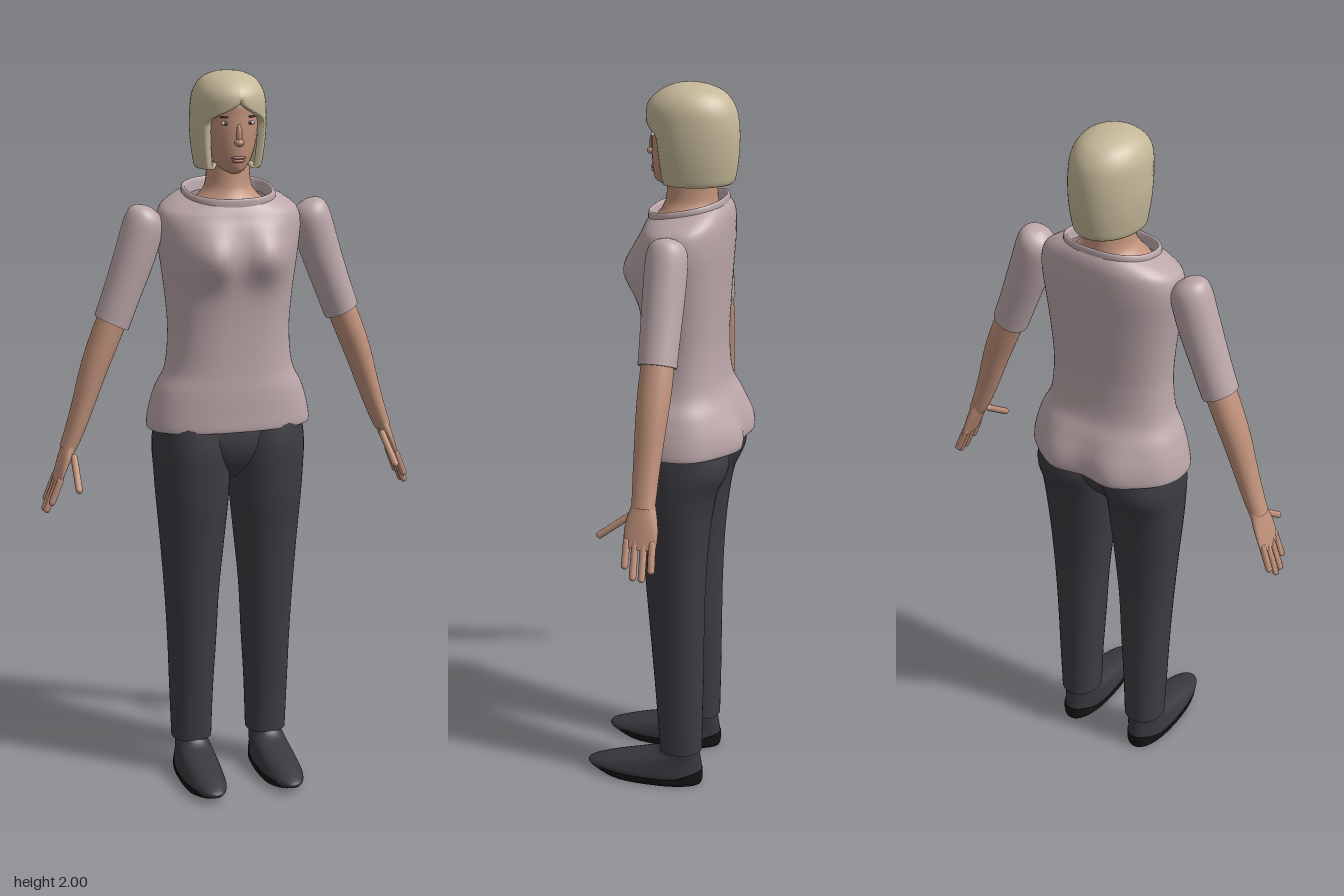
import * as THREE from 'three';

const mat = (name, color, side = THREE.FrontSide) => {
  const m = new THREE.MeshStandardMaterial({ color, side });
  m.name = name;
  return m;
};
const smooth = THREE.MathUtils.smoothstep;
const gauss = (a, b, r) => Math.exp(-(a * a + b * b) / (r * r));

// Smooth interpolation through the key sections
function section(keys, t) {
  const n = keys.length - 1, i = Math.min(Math.floor(t * n), n - 1), u = t * n - i;
  const k = (q) => keys[Math.max(0, Math.min(n, q))];
  return keys[0].map((_, c) => {
    const [a, b, d, e] = [k(i - 1)[c], k(i)[c], k(i + 1)[c], k(i + 2)[c]];
    return b + 0.5 * u * (d - a + u * (2 * a - 5 * b + 4 * d - e + u * (3 * (b - d) + e - a)));
  });
}

// Rings through keys [y, halfWidth, frontZ, backZ, centreX, centreZ], bottom to top
function loft(keys, { rows = 24, segs = 36, power = 1, caps = true, deform, mid = -0.05 } = {}) {
  const full = keys.map((k) => [k[0], k[1], k[2], k[3], k[4] ?? 0, k[5] ?? mid]);
  const pos = [], idx = [];
  const sp = (v) => Math.sign(v) * Math.abs(v) ** power;
  for (let i = 0; i <= rows; i++) {
    const [y, w, f, b, cx, cz] = section(full, i / rows);
    for (let j = 0; j < segs; j++) {
      const a = (j / segs) * Math.PI * 2, c = sp(Math.cos(a));
      const p = new THREE.Vector3(cx + w * sp(Math.sin(a)), y, cz + c * (c > 0 ? f - cz : cz - b));
      if (deform) deform(p, cx);
      pos.push(p.x, p.y, p.z);
      if (i < rows) {
        const q = i * segs + j, r = i * segs + ((j + 1) % segs);
        idx.push(q, r, r + segs, q, r + segs, q + segs);
      }
    }
  }
  if (caps) {
    for (const row of [0, rows]) {
      const start = pos.length / 3, mean = [0, 0, 0];
      for (let j = 0; j < segs; j++) {
        for (let c = 0; c < 3; c++) {
          const v = pos[(row * segs + j) * 3 + c];
          pos.push(v);
          mean[c] += v / segs;
        }
      }
      pos.push(...mean);
      for (let j = 0; j < segs; j++) {
        const a = start + j, b = start + ((j + 1) % segs);
        idx.push(...(row ? [a, b, start + segs] : [b, a, start + segs]));
      }
    }
  }
  return finish(pos, idx);
}

function finish(pos, idx) {
  const g = new THREE.BufferGeometry();
  g.setAttribute('position', new THREE.Float32BufferAttribute(pos, 3));
  g.setIndex(idx);
  g.computeVertexNormals();
  return g;
}

function mirrored(geo) {
  const g = geo.clone().scale(-1, 1, 1), ix = g.index.array;
  for (let i = 0; i < ix.length; i += 3) [ix[i + 1], ix[i + 2]] = [ix[i + 2], ix[i + 1]];
  g.computeVertexNormals();
  return g;
}

function capsule(a, b, r) {
  const p = new THREE.Vector3(...a), q = new THREE.Vector3(...b), d = q.clone().sub(p);
  const g = new THREE.CapsuleGeometry(r, d.length() - r, 5, 12);
  g.applyQuaternion(new THREE.Quaternion().setFromUnitVectors(new THREE.Vector3(0, 1, 0), d.normalize()));
  return g.translate(...p.add(q).multiplyScalar(0.5).toArray());
}

const blob = (x, y, z, sx, sy, sz) => new THREE.SphereGeometry(1, 18, 12).scale(sx, sy, sz).translate(x, y, z);

// Bobbed hair: rings that open at the front around the face, edges turned inward
function hairGeometry() {
  const keys = [[1.76, 0.06, 0.02, -0.13], [1.742, 0.086, 0.035, -0.165], [1.78, 0.096, 0.045, -0.177],
    [1.84, 0.102, 0.056, -0.182], [1.9, 0.101, 0.066, -0.18], [1.945, 0.094, 0.062, -0.168],
    [1.978, 0.073, 0.03, -0.14], [1.996, 0.038, -0.01, -0.095], [2.0, 0, -0.05, -0.05]];
  const rows = 48, cols = 48, pos = [], idx = [];
  for (let i = 0; i <= rows; i++) {
    const [y, w, f, b] = section(keys, i / rows);
    const open = 0.88 * (1 - smooth(y, 1.865, 1.925));
    for (let j = 0; j <= cols; j++) {
      const u = THREE.MathUtils.clamp((j - 1) / (cols - 2), 0, 1);
      const a = open + u * (Math.PI * 2 - 2 * open);
      const s = (j === 0 || j === cols) && open > 0 ? 0.82 : 1;
      const c = Math.cos(a);
      pos.push(s * w * Math.sin(a), y, -0.05 + s * c * (c > 0 ? f + 0.05 : -0.05 - b));
      if (i < rows && j < cols) {
        const q = i * (cols + 1) + j, r = q + cols + 1;
        idx.push(q, q + 1, r + 1, q, r + 1, r);
      }
    }
  }
  return finish(pos, idx);
}

export function createModel() {
  const model = new THREE.Group();
  const skin = mat('skin', 0xc0917a);
  const shirt = mat('mauve shirt', 0xbca7aa, THREE.DoubleSide);
  const trousers = mat('charcoal trousers', 0x3c3c42);
  const shoeUpper = mat('shoe upper', 0x38383d);
  const soleBlack = mat('black sole', 0x141416);
  const hair = mat('blonde hair', 0xc5b899, THREE.DoubleSide);
  const lips = mat('lips', 0x9c6459);
  const eyeWhite = mat('eye white', 0xd8d0c8);
  const dark = mat('dark brown', 0x4a372e);

  const add = (name, geo, material) => {
    const m = new THREE.Mesh(geo, material);
    m.name = name;
    model.add(m);
  };
  const pair = (name, geo, material) => {
    add('left' + name, geo, material);
    add('right' + name, mirrored(geo), material);
  };

  // Shirt body with bust, seat flare and a neckline that dips in front
  add('shirtBody', loft([[1.05, 0.205, 0.05, -0.17], [1.03, 0.23, 0.07, -0.2], [1.08, 0.225, 0.071, -0.2],
    [1.14, 0.207, 0.07, -0.183], [1.2, 0.179, 0.067, -0.16], [1.3, 0.17, 0.067, -0.152],
    [1.4, 0.177, 0.072, -0.155], [1.5, 0.19, 0.078, -0.16], [1.58, 0.2, 0.074, -0.165],
    [1.63, 0.193, 0.066, -0.165], [1.655, 0.165, 0.06, -0.16], [1.675, 0.125, 0.052, -0.15]], {
    rows: 66, segs: 64, power: 0.85, caps: false,
    deform: (p) => {
      const ax = Math.abs(p.x);
      if (p.z > -0.03) p.z += 0.042 * gauss(ax - 0.075, (p.y - 1.51) * 0.9, 0.062);
      else p.z -= 0.022 * gauss(ax - 0.09, (p.y - 1.05) * 0.7, 0.06);
      p.y -= 0.02 * smooth(p.y, 1.58, 1.675) * (p.z + 0.05) / 0.1;
    },
  }), shirt);

  // Raised neckline band
  add('collar', loft([[1.655, 0.127, 0.055, -0.152], [1.678, 0.128, 0.056, -0.153], [1.688, 0.124, 0.054, -0.15],
    [1.684, 0.117, 0.047, -0.144], [1.655, 0.113, 0.042, -0.14]], {
    rows: 16, segs: 48, power: 0.85, caps: false,
    deform: (p) => { p.y -= 0.02 * (p.z + 0.05) / 0.1; },
  }), shirt);

  // Sleeves and arms, with cuts square to the arm
  const tilt = (p, cx) => { p.y += (p.x - cx) * 0.48; };
  pair('Sleeve', loft([[1.333, 0.045, 0.002, -0.1, 0.33], [1.42, 0.047, 0.004, -0.102, 0.297],
    [1.52, 0.051, 0.006, -0.105, 0.261], [1.6, 0.05, 0.004, -0.104, 0.236], [1.632, 0.036, -0.012, -0.088, 0.226],
    [1.644, 0.006, -0.042, -0.058, 0.222]], { rows: 30, deform: tilt }), shirt);
  pair('Forearm', loft([[0.99, 0.02, -0.015, -0.076, 0.46], [1.03, 0.023, -0.012, -0.077, 0.443],
    [1.1, 0.027, -0.009, -0.08, 0.418], [1.2, 0.033, -0.006, -0.088, 0.385], [1.28, 0.036, -0.005, -0.093, 0.354],
    [1.37, 0.037, -0.008, -0.093, 0.316]], { deform: tilt }), skin);
  pair('Palm', loft([[0.895, 0.009, -0.004, -0.088, 0.494], [0.93, 0.013, 0.0, -0.09, 0.482],
    [0.965, 0.017, -0.004, -0.086, 0.469], [1.005, 0.02, -0.015, -0.076, 0.454]], { rows: 14, segs: 24 }), skin);

  // Fingers and thumb
  [[-0.01, 0.848], [-0.034, 0.822], [-0.058, 0.82], [-0.081, 0.842]].forEach(([z, tip], i) =>
    pair('Finger' + (i + 1), capsule([0.488, 0.915, z * 0.95], [0.49 + (0.91 - tip) * 0.4, tip, z], 0.0095), skin));
  pair('Thumb', capsule([0.448, 0.975, -0.02], [0.455, 0.902, 0.076], 0.0095), skin);

  // Trousers
  add('hips', loft([[0.885, 0.03, 0, -0.09], [0.93, 0.1, 0.042, -0.13], [0.99, 0.19, 0.058, -0.16],
    [1.07, 0.2, 0.05, -0.165]]), trousers);
  pair('TrouserLeg', loft([[0.105, 0.057, 0.002, -0.118, 0.112], [0.25, 0.062, 0.012, -0.12, 0.112],
    [0.4, 0.069, 0.024, -0.121, 0.11], [0.55, 0.077, 0.036, -0.122, 0.11], [0.7, 0.09, 0.048, -0.128, 0.108],
    [0.82, 0.101, 0.06, -0.14, 0.107], [0.9, 0.106, 0.064, -0.155, 0.107], [0.98, 0.108, 0.066, -0.186, 0.107],
    [1.07, 0.1, 0.055, -0.17, 0.105]], { rows: 40, power: 0.92 }), trousers);

  // Shoes
  pair('Shoe', loft([[0.018, 0.057, 0.208, -0.118, 0.114, 0.03], [0.034, 0.058, 0.218, -0.12, 0.114, 0.03],
    [0.055, 0.054, 0.165, -0.118, 0.113, 0.01], [0.075, 0.05, 0.085, -0.115, 0.112, -0.02],
    [0.095, 0.046, 0.015, -0.112, 0.112, -0.05], [0.125, 0.044, -0.008, -0.11, 0.112, -0.055]],
  { rows: 20, power: 0.9 }), shoeUpper);
  pair('Sole', loft([[0, 0.055, 0.19, -0.118, 0.114, 0.03], [0.01, 0.06, 0.208, -0.121, 0.114, 0.03],
    [0.022, 0.06, 0.214, -0.122, 0.114, 0.03]], {
    rows: 6, power: 0.9,
    deform: (p) => { p.y += 0.012 * smooth(p.z, 0.1, 0.22) + (p.y > 0.015 ? 0.02 * smooth(-p.z, 0.04, 0.12) : 0); },
  }), soleBlack);

  // Neck and head
  add('neck', loft([[1.61, 0.125, 0.02, -0.13], [1.645, 0.112, 0.038, -0.135], [1.672, 0.08, 0.022, -0.13],
    [1.705, 0.061, 0.012, -0.126], [1.79, 0.057, 0.005, -0.12]]), skin);
  add('head', loft([[1.732, 0.018, 0.028, -0.03], [1.745, 0.04, 0.044, -0.07], [1.78, 0.062, 0.05, -0.12],
    [1.83, 0.075, 0.052, -0.15], [1.88, 0.079, 0.051, -0.155], [1.925, 0.074, 0.046, -0.14],
    [1.965, 0.04, 0.0, -0.1]], { rows: 30 }), skin);
  add('hair', hairGeometry(), hair);

  // Face
  add('nose', blob(0, 1.836, 0.05, 0.008, 0.03, 0.01), skin);
  add('noseTip', blob(0, 1.817, 0.053, 0.013, 0.01, 0.014), skin);
  add('upperLip', blob(0, 1.777, 0.048, 0.021, 0.0045, 0.006), lips);
  add('lowerLip', blob(0, 1.768, 0.047, 0.018, 0.005, 0.006), lips);
  pair('Eye', blob(0.034, 1.868, 0.0405, 0.013, 0.0055, 0.005), eyeWhite);
  pair('Iris', blob(0.034, 1.868, 0.043, 0.005, 0.005, 0.004), dark);
  pair('Brow', blob(0.035, 1.884, 0.041, 0.016, 0.0025, 0.004), dark);
  return model;
}
